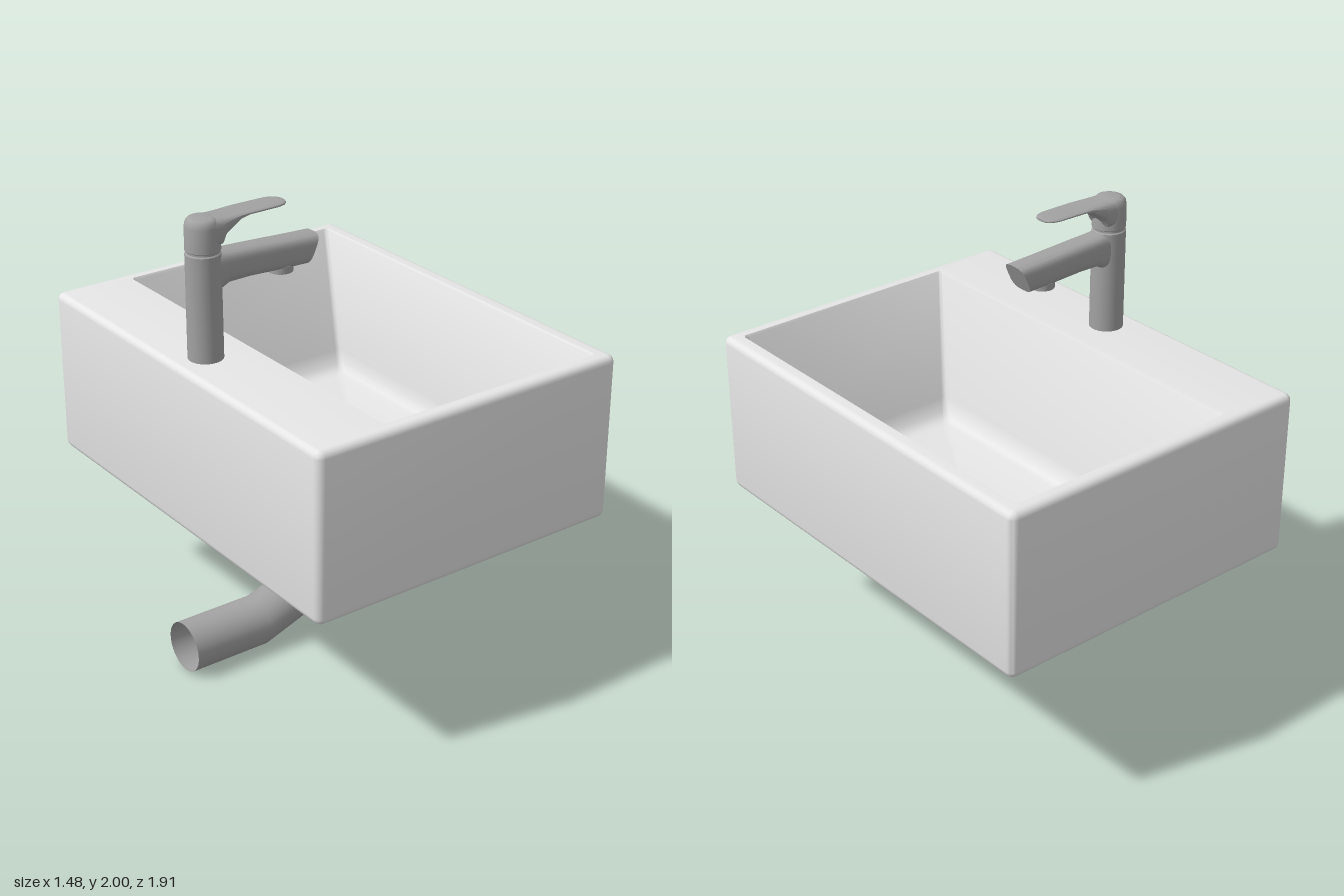
import * as THREE from 'three';
import { toCreasedNormals } from 'three/addons/utils/BufferGeometryUtils.js';

const ceramic = new THREE.MeshStandardMaterial({ color: 0xe6e6e6 });
ceramic.name = 'ceramic';
const chrome = new THREE.MeshStandardMaterial({ color: 0xa2a2a2 });
chrome.name = 'chrome';
const pipeMetal = new THREE.MeshStandardMaterial({ color: 0xa2a2a2, side: THREE.DoubleSide });
pipeMetal.name = 'pipe metal';

// Skin a list of closed rings that all have the same number of points.
function loft(rings, capStart, capEnd) {
  const centre = (ring) => {
    const c = new THREE.Vector3();
    ring.forEach((p) => c.add(p));
    c.divideScalar(ring.length);
    return ring.map(() => c);
  };
  const all = [...rings];
  if (capStart) all.unshift(centre(rings[0]));
  if (capEnd) all.push(centre(rings[rings.length - 1]));
  const n = rings[0].length;
  const pos = all.flatMap((ring) => ring.flatMap((p) => [p.x, p.y, p.z]));
  const index = [];
  for (let i = 0; i < all.length - 1; i++) {
    for (let j = 0; j < n; j++) {
      const a = i * n + j, b = i * n + (j + 1) % n, c = a + n, d = b + n;
      if (!(capEnd && i === all.length - 2)) index.push(b, c, d);
      if (!(capStart && i === 0)) index.push(a, c, b);
      else index.push(); // the pole side of the first cap has no area
    }
  }
  const geo = new THREE.BufferGeometry();
  geo.setAttribute('position', new THREE.Float32BufferAttribute(pos, 3));
  geo.setIndex(index);
  return toCreasedNormals(geo, 0.75);
}

// Horizontal rounded rectangle at height y.
function rectRing(x0, x1, zHalf, r, y) {
  const ring = [], steps = 5;
  const corners = [[x1 - r, zHalf - r], [x0 + r, zHalf - r], [x0 + r, r - zHalf], [x1 - r, r - zHalf]];
  corners.forEach(([cx, cz], k) => {
    for (let s = 0; s <= steps; s++) {
      const t = (k + s / steps) * Math.PI / 2;
      ring.push(new THREE.Vector3(cx + r * Math.cos(t), y, cz + r * Math.sin(t)));
    }
  });
  return ring;
}

// Cross-section between an upper and a lower profile point; power < 1 squares it off.
function section([hx, hy, lx, ly, w], power = 1) {
  const ring = [], n = 36;
  const shape = (v) => Math.sign(v) * Math.abs(v) ** power;
  for (let j = 0; j < n; j++) {
    const t = (j / n) * Math.PI * 2, c = shape(Math.cos(t)), s = shape(Math.sin(t));
    ring.push(new THREE.Vector3((hx + lx) / 2 + (hx - lx) / 2 * c, (hy + ly) / 2 + (hy - ly) / 2 * c, -w * s));
  }
  return ring;
}

export function createModel() {
  const model = new THREE.Group();
  const add = (parent, name, geo, mat) => {
    const mesh = new THREE.Mesh(geo, mat);
    mesh.name = name;
    parent.add(mesh);
    return mesh;
  };

  // Basin: outer shell with rounded edges, flat rim, tapering bowl
  const X0 = -0.74, X1 = 0.735, Z = 0.955, Y0 = 0.68, Y1 = 1.41, R = 0.03;
  const rings = [];
  for (const top of [false, true]) {
    for (let s = 0; s <= 4; s++) {
      const t = (top ? s : 4 - s) / 4 * Math.PI / 2;
      const inset = R * (1 - Math.cos(t)), rise = R * (1 - Math.sin(t));
      rings.push(rectRing(X0 + inset, X1 - inset, Z - inset, 0.035 - inset, top ? Y1 - rise : Y0 + rise));
    }
  }
  rings.push(
    rectRing(-0.395, 0.668, 0.897, 0.02, 1.41),
    rectRing(-0.39, 0.66, 0.89, 0.02, 1.40),
    rectRing(-0.285, 0.615, 0.73, 0.025, 0.87),
    rectRing(-0.27, 0.605, 0.705, 0.025, 0.81),
    rectRing(-0.25, 0.59, 0.675, 0.025, 0.787),
    rectRing(-0.22, 0.56, 0.645, 0.025, 0.78),
  );
  add(model, 'basin', loft(rings, true, true), ceramic);

  // Drain cover on the bowl floor
  const drain = add(model, 'drain', new THREE.CylinderGeometry(0.128, 0.128, 0.008, 36), chrome);
  drain.position.set(0.165, 0.784, 0);

  // Waste pipe: open at the wall end, flared under the basin
  const pipe = [
    [-0.742, 0.22, -0.742, 0, 0.11],
    [-0.37, 0.22, -0.37, 0, 0.11],
    [-0.155, 0.30, -0.06, 0.11, 0.11],
    [-0.03, 0.43, 0.15, 0.30, 0.11],
    [0, 0.53, 0.22, 0.53, 0.11],
    [0, 0.65, 0.22, 0.65, 0.11],
    [-0.007, 0.67, 0.227, 0.67, 0.118],
    [-0.025, 0.682, 0.245, 0.682, 0.135],
  ];
  add(model, 'wastePipe', loft(pipe.map((p) => section(p)), false, false), pipeMetal);

  // Faucet
  const faucet = new THREE.Group();
  faucet.name = 'faucet';
  model.add(faucet);

  const profile = [
    [0.073, 1.405], [0.072, 1.852], [0.067, 1.857], [0.067, 1.864], [0.072, 1.868],
    [0.071, 1.965], [0.067, 1.985], [0.057, 1.996], [0.04, 2], [0, 2],
  ].map(([r, y]) => new THREE.Vector2(r, y));
  const body = add(faucet, 'faucetBody', toCreasedNormals(new THREE.LatheGeometry(profile, 36), 0.75), chrome);
  body.position.x = -0.593;

  // Spout with a slanted tip
  const spout = [
    [-0.6, 1.853, -0.6, 1.69, 0.06],
    [-0.53, 1.853, -0.53, 1.70, 0.06],
    [-0.50, 1.849, -0.50, 1.716, 0.06],
    [-0.40, 1.845, -0.40, 1.718, 0.06],
    [-0.22, 1.836, -0.25, 1.711, 0.06],
    [-0.07, 1.829, -0.125, 1.708, 0.06],
  ];
  add(faucet, 'spout', loft(spout.map((p) => section(p, 0.6)), true, true), chrome);
  const aerator = add(faucet, 'aerator', new THREE.CylinderGeometry(0.052, 0.052, 0.03, 28), chrome);
  aerator.position.set(-0.228, 1.709, 0);

  // Lever handle: thick at the head, thinning to a rounded blade
  const lever = [
    [-0.60, 2.0, 0.07, 1.87],
    [-0.535, 1.999, 0.068, 1.885],
    [-0.52, 1.998, 0.066, 1.92],
    [-0.45, 1.997, 0.062, 1.971],
    [-0.41, 1.997, 0.06, 1.982],
    [-0.27, 1.997, 0.058, 1.983],
    [-0.24, 1.997, 0.05, 1.983],
    [-0.223, 1.996, 0.036, 1.984],
    [-0.215, 1.995, 0.016, 1.985],
  ];
  add(faucet, 'lever', loft(lever.map(([x, hi, w, lo]) => section([x, hi, x, lo, w], 0.55)), true, true), chrome);

  return model;
}
